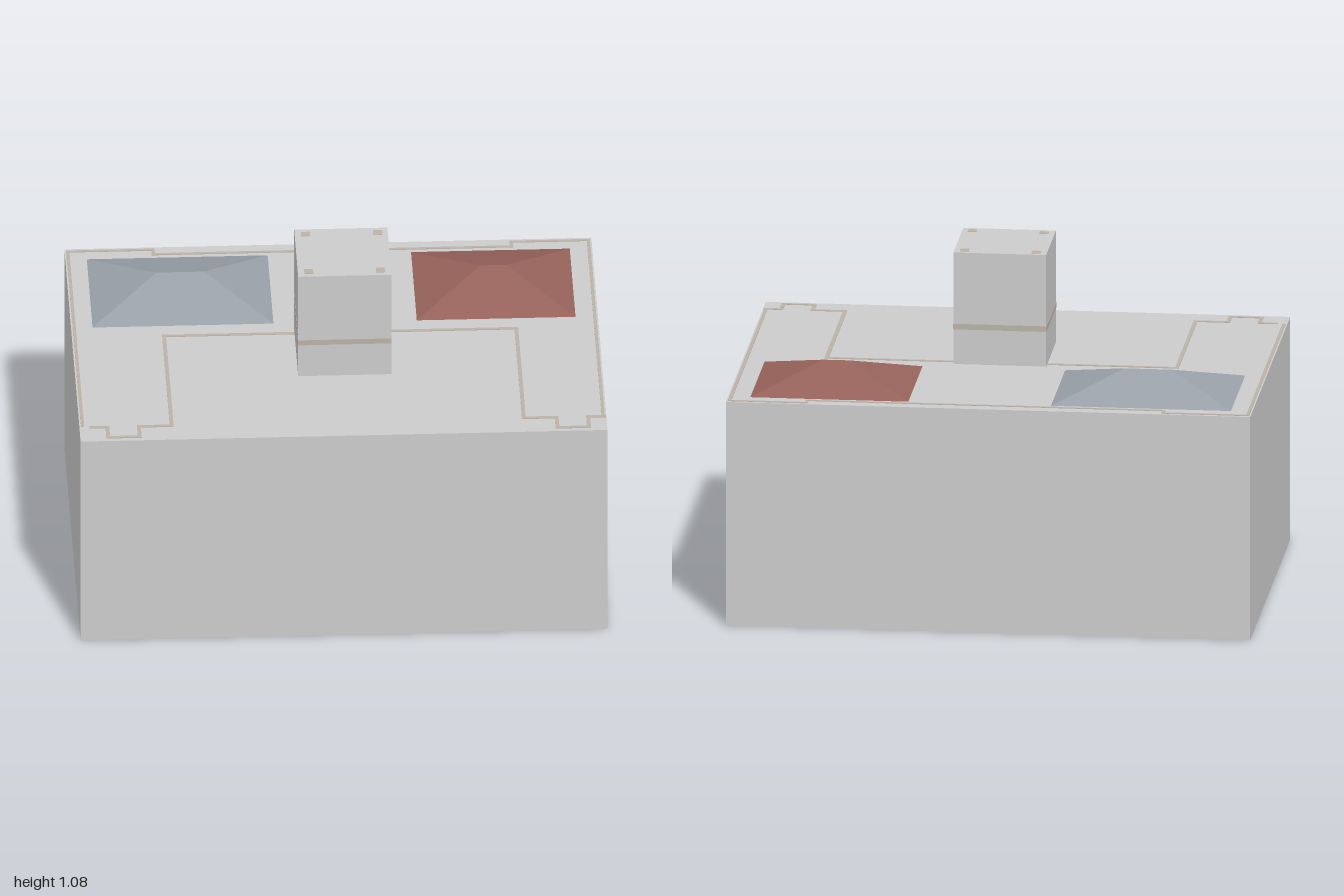
import * as THREE from 'three';

const WALL_TOP = 0.72, TOWER_TOP = 1.08;
const mat = (color) => new THREE.MeshStandardMaterial({ color, flatShading: true });
const grey = mat(0xcccccc), tan = mat(0xbbb2a6), red = mat(0x96625a), slate = mat(0x99a0a8);

// Box given by its extents along each axis
function block(name, x0, x1, y0, y1, z0, z1, material) {
  const mesh = new THREE.Mesh(new THREE.BoxGeometry(x1 - x0, y1 - y0, z1 - z0), material);
  mesh.name = name;
  mesh.position.set((x0 + x1) / 2, (y0 + y1) / 2, (z0 + z1) / 2);
  return mesh;
}

// Hipped roof: a box whose top face is drawn in to a ridge
function hipRoof(name, x0, x1, z0, z1, material) {
  const rise = 0.07, inset = (z1 - z0) / 2, w = x1 - x0;
  const geo = new THREE.BoxGeometry(w, rise, z1 - z0);
  const p = geo.attributes.position;
  for (let i = 0; i < p.count; i++) {
    if (p.getY(i) > 0) {
      p.setX(i, Math.sign(p.getX(i)) * (w / 2 - inset));
      p.setZ(i, 0);
    }
  }
  geo.computeVertexNormals();
  const mesh = new THREE.Mesh(geo, material);
  mesh.name = name;
  mesh.position.set((x0 + x1) / 2, WALL_TOP + rise / 2, (z0 + z1) / 2);
  return mesh;
}

// Thin wall capping that follows a plan path of [x, z] points
function capping(name, path, width = 0.012) {
  const group = new THREE.Group();
  group.name = name;
  for (let i = 1; i < path.length; i++) {
    const [ax, az] = path[i - 1], [bx, bz] = path[i];
    const dx = bx - ax, dz = bz - az;
    const strip = new THREE.Mesh(new THREE.BoxGeometry(Math.hypot(dx, dz) + width, 0.003, width), tan);
    strip.name = 'cappingStrip';
    strip.position.set((ax + bx) / 2, WALL_TOP + 0.0005, (az + bz) / 2);
    strip.rotation.y = -Math.atan2(dz, dx);
    group.add(strip);
  }
  return group;
}

export function createModel() {
  const model = new THREE.Group();
  const building = new THREE.Group();
  building.name = 'building';
  building.rotation.y = -0.506; // the plan is turned about the vertical
  model.add(building);

  // Main block and tower
  building.add(block('mainBlock', -0.82, 0.82, 0, WALL_TOP, -0.583, 0.583, grey));
  building.add(block('tower', -0.127, 0.163, WALL_TOP, TOWER_TOP, -0.07, 0.216, grey));
  building.add(block('towerBand', -0.128, 0.164, 0.832, 0.85, -0.071, 0.217, tan));

  // Corner posts showing on the tower top
  for (const x of [-0.093, 0.131]) {
    for (const z of [-0.04, 0.186]) {
      building.add(block('towerPost', x - 0.014, x + 0.014, TOWER_TOP - 0.01, TOWER_TOP + 0.001, z - 0.014, z + 0.014, tan));
    }
  }

  // Two hipped roofs along the back
  building.add(hipRoof('slateRoof', -0.753, -0.19, -0.52, -0.106, slate));
  building.add(hipRoof('redRoof', 0.256, 0.75, -0.52, -0.106, red));

  // Courtyard walls, mirrored about the tower's centre line
  const axis = 0.015;
  const court = [[0.14, -0.044], [0.548, -0.044], [0.548, 0.5], [0.65, 0.5],
    [0.65, 0.562], [0.748, 0.562], [0.748, 0.5], [0.798, 0.5]];
  for (const side of [-1, 1]) {
    building.add(capping(side < 0 ? 'rightCourtWall' : 'leftCourtWall',
      court.map(([x, z]) => [axis + side * x, z])));
  }

  // Outer wall round the back with a stepped middle
  building.add(capping('backWall', [[-0.81, 0.49], [-0.81, -0.568], [-0.545, -0.568],
    [-0.545, -0.54], [0.57, -0.54], [0.57, -0.568], [0.81, -0.568], [0.81, 0.49]], 0.01));

  return model;
}
